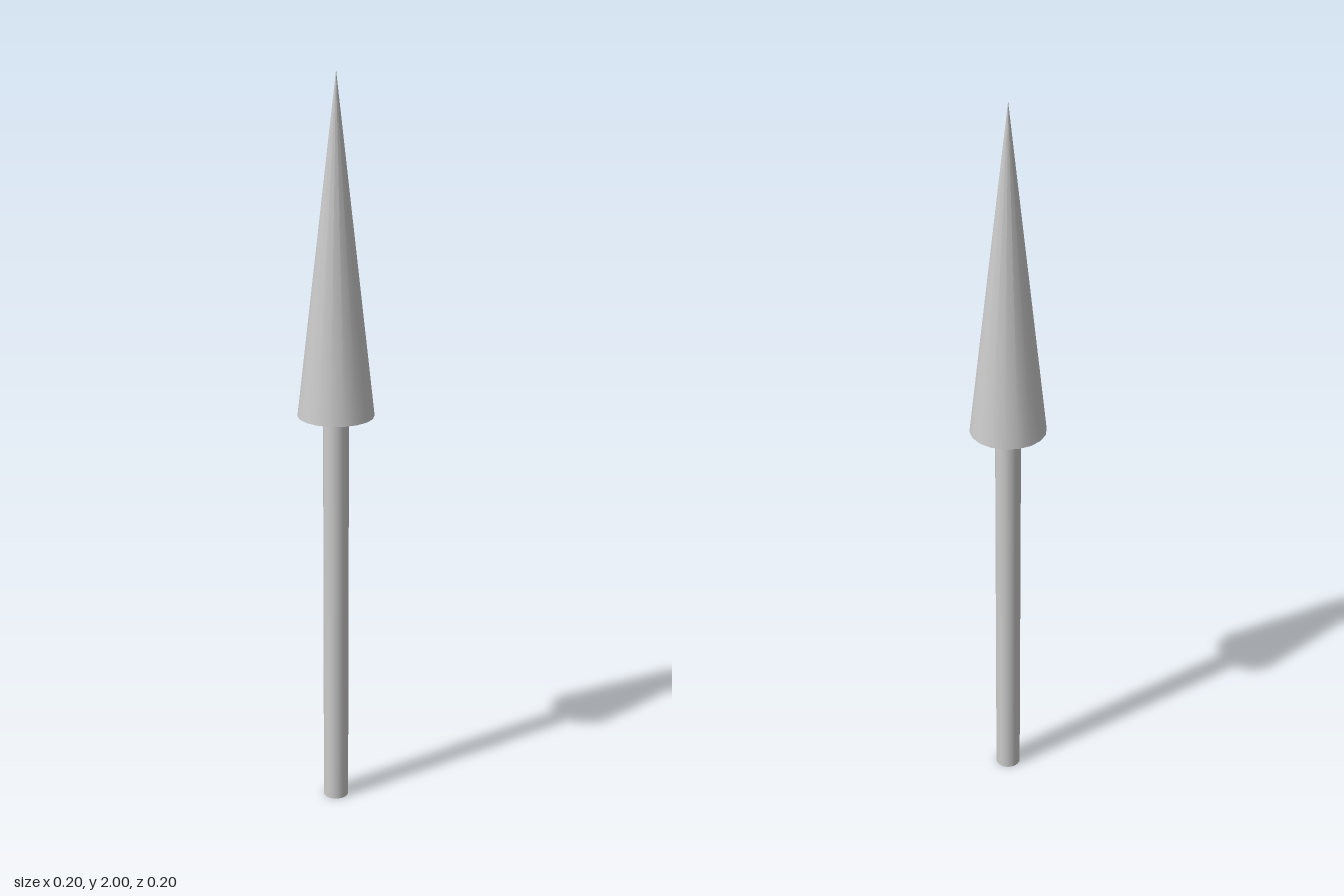
import * as THREE from 'three';

const SIDES = 18;
const HEAD_BASE = 1.11;

export function createModel() {
  const model = new THREE.Group();
  const material = new THREE.MeshStandardMaterial({ color: 0xcccccc });

  // Adds an upright round part, closed at both ends, standing on baseY
  const addPart = (name, geometry, baseY, height) => {
    const mesh = new THREE.Mesh(geometry, material);
    mesh.name = name;
    mesh.position.y = baseY + height / 2;
    model.add(mesh);
  };

  // Slim straight shaft
  addPart('shaft', new THREE.CylinderGeometry(0.034, 0.034, HEAD_BASE, SIDES), 0, HEAD_BASE);

  // Long pointed head
  const headHeight = 2 - HEAD_BASE;
  addPart('arrowHead', new THREE.ConeGeometry(0.101, headHeight, SIDES), HEAD_BASE, headHeight);

  return model;
}
